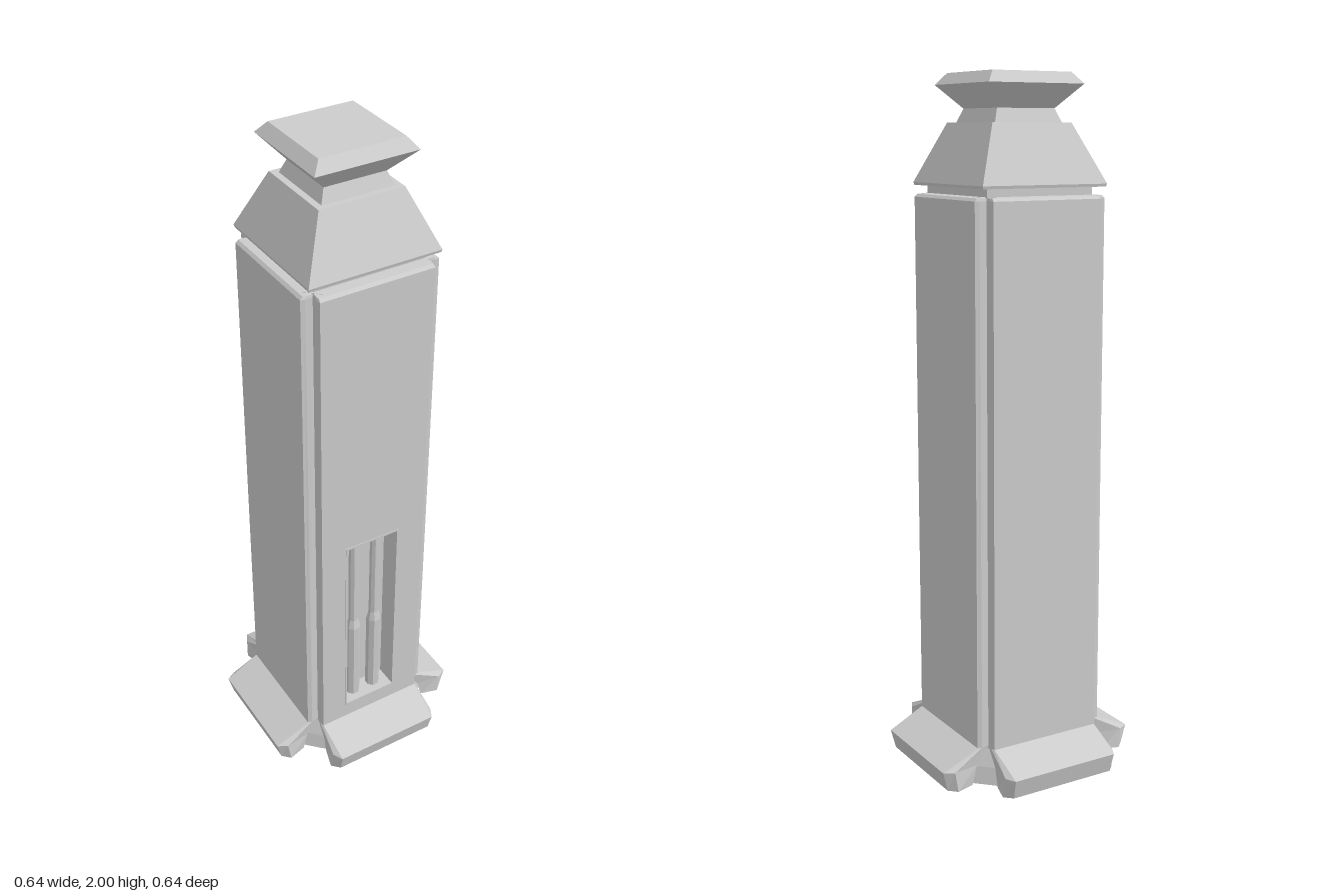
import * as THREE from 'three';

const material = new THREE.MeshStandardMaterial({ color: 0xcccccc, flatShading: true, side: THREE.DoubleSide });

function add(parent, name, geometry) {
  const mesh = new THREE.Mesh(geometry, material);
  mesh.name = name;
  parent.add(mesh);
  return mesh;
}

// Skin between rows of points, listed bottom to top, left to right.
function loft(rows, skip = () => false) {
  const pos = [];
  for (let i = 0; i < rows.length - 1; i++) {
    for (let j = 0; j < rows[i].length - 1; j++) {
      if (skip(i, j)) continue;
      const [a, b, c, d] = [rows[i][j], rows[i][j + 1], rows[i + 1][j + 1], rows[i + 1][j]];
      pos.push(...a, ...b, ...c, ...a, ...c, ...d);
    }
  }
  const g = new THREE.BufferGeometry();
  g.setAttribute('position', new THREE.Float32BufferAttribute(pos, 3));
  g.computeVertexNormals();
  return g;
}

// Square turned profile of [half width, y] pairs.
function squareLathe(profile) {
  const points = profile.map(([h, y]) => new THREE.Vector2(h * Math.SQRT2, y));
  return new THREE.LatheGeometry(points, 4, Math.PI / 4);
}

function rectPath(PathClass, x0, y0, x1, y1) {
  const p = new PathClass();
  p.moveTo(x0, y0);
  p.lineTo(x1, y0);
  p.lineTo(x1, y1);
  p.lineTo(x0, y1);
  p.closePath();
  return p;
}

const FACE_Z = 0.208, FACE_W = 0.172, FACE_BOTTOM = 0.11, FACE_TOP = 1.66;
const VENT = [-0.093, 0.16, 0.087, 0.815];

// Side panel: flat face, folded edges and a foot kicked outwards.
// Row: y, then [x, z] of the face edge, the fold and the inner edge.
const panelRows = [
  [0, [0.165, 0.303], [0.188, 0.28], [0.172, 0.225]],
  [0.058, [0.168, 0.318], [0.184, 0.288], [0.172, 0.21]],
  [FACE_BOTTOM, [FACE_W, FACE_Z], [0.176, 0.195], [0.172, 0.172]],
  [FACE_TOP, [FACE_W, FACE_Z], [0.174, 0.195], [0.172, 0.172]],
  [1.668, [0.17, 0.2], [0.172, 0.19], [0.17, 0.17]],
  [1.67, [0.165, 0.165], [0.165, 0.165], [0.165, 0.165]],
].map(([y, face, fold, inner]) => [
  ...[inner, fold, face].map(([x, z]) => [-x, y, z]),
  ...[face, fold, inner].map(([x, z]) => [x, y, z]),
]);

// Corner strip between two panels, flared at the base.
const cornerRows = [
  [0, 0.235, 0.145],
  [0.05, 0.222, 0.145],
  [0.1, 0.19, 0.152],
  [1.67, 0.19, 0.152],
].map(([y, far, near]) => [[near, y, far], [far, y, near]]);

function createVent() {
  const vent = new THREE.Group();
  vent.name = 'vent';
  const [x0, y0, x1, y1] = VENT;
  const t = 0.006;

  // Deep frame lining the opening, with a plate behind
  const frame = rectPath(THREE.Shape, x0, y0, x1, y1);
  frame.holes.push(rectPath(THREE.Path, x0 + t, y0 + t, x1 - t, y1 - t));
  const depth = 0.07;
  add(vent, 'ventFrame', new THREE.ExtrudeGeometry(frame, { depth, bevelEnabled: false }))
    .position.z = FACE_Z + 0.002 - depth;
  add(vent, 'ventBack', new THREE.BoxGeometry(x1 - x0, y1 - y0, 0.006))
    .position.set((x0 + x1) / 2, (y0 + y1) / 2, FACE_Z - depth);

  // Two stepped pipes
  const profile = [[0.022, y0], [0.022, 0.45], [0.015, 0.48], [0.015, y1]]
    .map(([r, y]) => new THREE.Vector2(r, y));
  for (const x of [-0.04, 0.033]) {
    add(vent, 'pipe', new THREE.LatheGeometry(profile, 8, Math.PI / 8))
      .position.set(x, 0, FACE_Z - 0.042);
  }
  return vent;
}

export function createModel() {
  const model = new THREE.Group();
  model.name = 'pillar';

  // Four sides; the front one has an opening in its face
  for (let i = 0; i < 4; i++) {
    const side = new THREE.Group();
    side.name = ['frontSide', 'leftSide', 'backSide', 'rightSide'][i];
    side.rotation.y = i * Math.PI / 2;
    const front = i === 0;
    add(side, 'panel', loft(panelRows, (row, col) => front && row === 2 && col === 2));
    add(side, 'cornerStrip', loft(cornerRows));
    if (front) {
      const face = rectPath(THREE.Shape, -FACE_W, FACE_BOTTOM, FACE_W, FACE_TOP);
      face.holes.push(rectPath(THREE.Path, ...VENT));
      add(side, 'ventedFace', new THREE.ShapeGeometry(face)).position.z = FACE_Z;
      side.add(createVent());
    }
    model.add(side);
  }

  // Head: collar, sloped cap, neck and finial
  add(model, 'collar', squareLathe([[0, 1.64], [0.168, 1.64], [0.168, 1.695]]));
  add(model, 'cap', squareLathe([[0, 1.692], [0.196, 1.692], [0.198, 1.7], [0.126, 1.865], [0, 1.865]]));
  add(model, 'neck', squareLathe([[0.107, 1.865], [0.092, 1.903]]));
  add(model, 'finial', squareLathe([[0, 1.903], [0.092, 1.903], [0.151, 1.968], [0.125, 2], [0, 2]]));

  return model;
}
